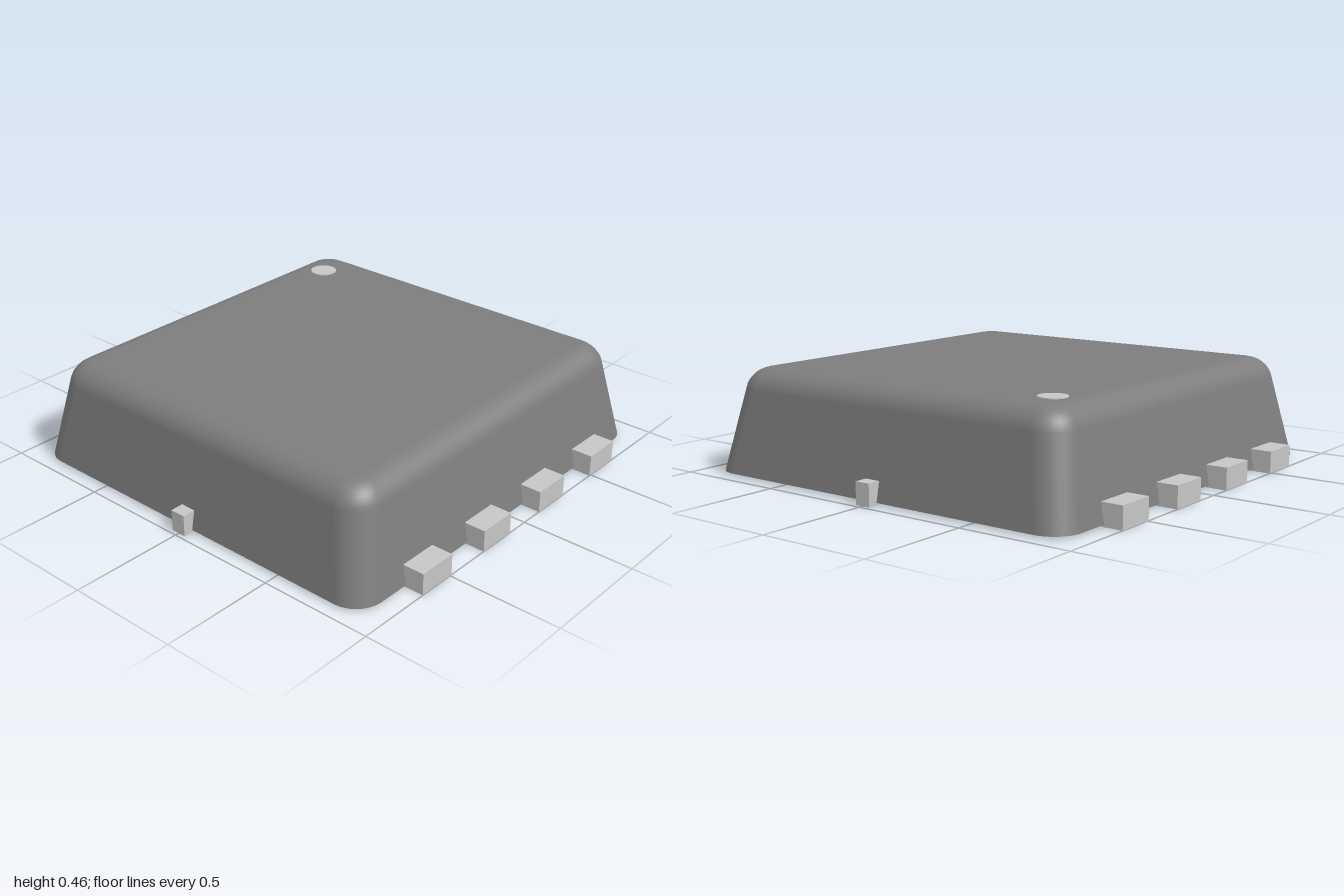
import * as THREE from 'three';

const bodyGrey = new THREE.MeshStandardMaterial({ color: 0x7d7d7d });
bodyGrey.name = 'bodyGrey';
const leadGrey = new THREE.MeshStandardMaterial({ color: 0xc6c6c6 });
leadGrey.name = 'leadGrey';

const BASE = 0.01, TOP = 0.455, HALF_X = 0.94, HALF_Z = 0.92;
const LEAD_X = [-0.58, -0.193, 0.193, 0.58], LEAD_W = 0.178;

function add(group, name, geometry, material, x = 0, y = 0, z = 0) {
  const mesh = new THREE.Mesh(geometry, material);
  mesh.name = name;
  mesh.position.set(x, y, z);
  group.add(mesh);
  return mesh;
}

// Rounded rectangle outline in the xz plane
function outline(inset, radius, steps = 8) {
  const hx = HALF_X - inset - radius, hz = HALF_Z - inset - radius;
  const signs = [[1, 1], [-1, 1], [-1, -1], [1, -1]];
  const points = [];
  signs.forEach(([sx, sz], q) => {
    for (let i = 0; i <= steps; i++) {
      const a = (q + i / steps) * Math.PI / 2;
      points.push([sx * hx + radius * Math.cos(a), sz * hz + radius * Math.sin(a)]);
    }
  });
  return points;
}

// Tapered wall followed by a rounded top edge
function bodyLevels() {
  const draft = 0.197, r = 0.11;
  const yEdge = TOP - r * (1 - Math.sin(draft));
  const insetEdge = (yEdge - BASE) * Math.tan(draft);
  const levels = [{ y: BASE, inset: 0, radius: 0.125 }];
  for (let i = 0; i <= 8; i++) {
    const a = draft + (Math.PI / 2 - draft) * i / 8;
    const d = r * (Math.cos(draft) - Math.cos(a));
    levels.push({
      y: TOP - r + r * Math.sin(a),
      inset: insetEdge + d,
      radius: 0.125 - d * 0.8,
    });
  }
  return levels;
}

function shellGeometry(levels) {
  const positions = [], index = [];
  let n = 0;
  levels.forEach(({ y, inset, radius }) => {
    const ring = outline(inset, radius);
    n = ring.length;
    ring.forEach(([x, z]) => positions.push(x, y, z));
  });
  for (let l = 0; l < levels.length - 1; l++) {
    for (let i = 0; i < n; i++) {
      const j = (i + 1) % n;
      const a = l * n + i, b = l * n + j, c = a + n, d = b + n;
      index.push(a, c, b, b, c, d);
    }
  }
  const geometry = new THREE.BufferGeometry();
  geometry.setAttribute('position', new THREE.Float32BufferAttribute(positions, 3));
  geometry.setIndex(index);
  geometry.computeVertexNormals();
  return geometry;
}

function capGeometry({ inset, radius }, up) {
  const shape = new THREE.Shape(outline(inset, radius).map(([x, z]) => new THREE.Vector2(x, z)));
  return new THREE.ShapeGeometry(shape).rotateX(up ? -Math.PI / 2 : Math.PI / 2);
}

// Exposed pad: two fingers at the front, a stepped tab to the side tie bar
function padGeometry(side) {
  const points = [
    [0.105, -0.415], [0.735, -0.415], [0.735, -0.14], [0.8, -0.125], [0.85, -0.035],
    [0.95, -0.035], [0.95, 0.035], [0.85, 0.035], [0.8, 0.125], [0.735, 0.14],
    [0.735, 0.71], [0.669, 0.71], [0.669, 0.95], [0.491, 0.95], [0.491, 0.71],
    [0.282, 0.71], [0.282, 0.95], [0.105, 0.95],
  ];
  const shape = new THREE.Shape(points.map(([x, z]) => new THREE.Vector2(side * x, z)));
  return new THREE.ExtrudeGeometry(shape, { depth: 0.012, bevelEnabled: false })
    .rotateX(Math.PI / 2).translate(0, 0.012, 0);
}

export function createModel() {
  const model = new THREE.Group();
  model.name = 'chipPackage';

  // Moulded body
  const body = new THREE.Group();
  body.name = 'body';
  model.add(body);
  const levels = bodyLevels();
  add(body, 'bodyShell', shellGeometry(levels), bodyGrey);
  add(body, 'bodyTop', capGeometry(levels[levels.length - 1], true), bodyGrey, 0, TOP);
  add(body, 'bodyUnderside', capGeometry(levels[0], false), bodyGrey, 0, BASE);

  // Orientation dot
  add(model, 'orientationDot', new THREE.CylinderGeometry(0.061, 0.061, 0.006, 32), leadGrey, 0.635, TOP + 0.001, -0.66);

  // Leads on the front and back, with flat contacts under the back ones
  const lead = new THREE.BoxGeometry(LEAD_W, 0.095, 0.12);
  const contact = new THREE.BoxGeometry(LEAD_W, 0.012, 0.19);
  LEAD_X.forEach((x) => {
    add(model, 'frontLead', lead, leadGrey, x, 0.0475, 0.94);
    add(model, 'backLead', lead, leadGrey, x, 0.0475, -0.94);
    add(model, 'backContact', contact, leadGrey, x, 0.006, -0.855);
  });

  // Exposed pads and tie bars, mirrored left and right
  const tie = new THREE.BoxGeometry(0.07, 0.095, 0.07);
  [-1, 1].forEach((side) => {
    add(model, 'exposedPad', padGeometry(side), leadGrey);
    add(model, 'tieBar', tie, leadGrey, side * 0.947, 0.0475, 0);
  });
  return model;
}
